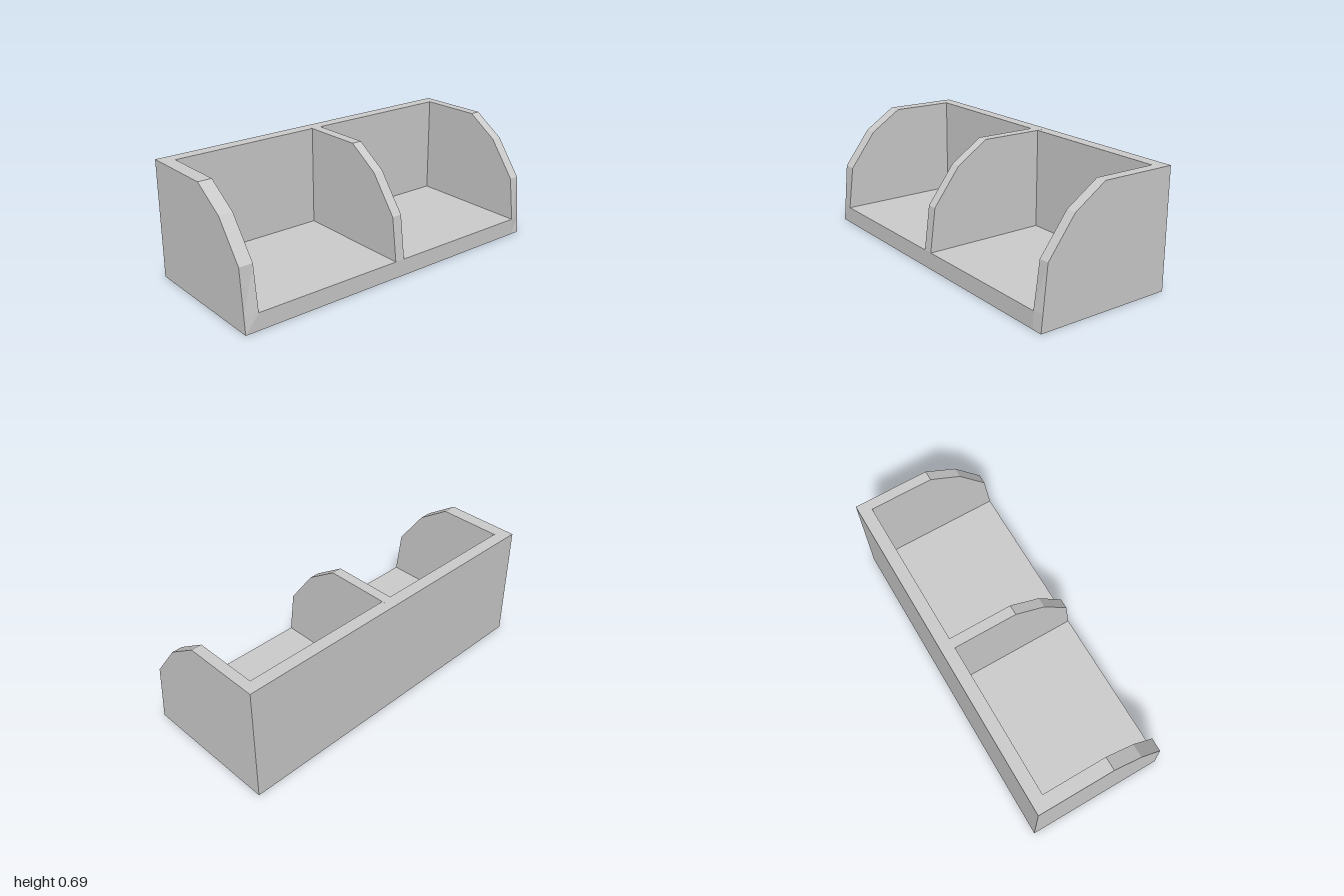
import * as THREE from 'three';

const W = 1, D = 0.413, H = 0.69, FLOOR = 0.1, BACK = -0.34;
const material = new THREE.MeshStandardMaterial({ color: 0xcccccc, flatShading: true });

// Side profile of an upright panel as (z, y) points
const profile = [
  [-D, 0], [D, 0], [D, FLOOR], [0.38, 0.357], [0.22, 0.57], [0.035, 0.692], [-D, H],
];

function addMesh(group, name, geometry) {
  const mesh = new THREE.Mesh(geometry, material);
  mesh.name = name;
  group.add(mesh);
}

// Upright panel between x0 and x1; an outer face at x = outerX runs straight from base to first bend
function panelGeometry(x0, x1, outerX) {
  const shape = new THREE.Shape(profile.map(([z, y]) => new THREE.Vector2(z, y)));
  const geometry = new THREE.ExtrudeGeometry(shape, { depth: x1 - x0, bevelEnabled: false });
  geometry.rotateY(-Math.PI / 2).translate(x1, 0, 0);
  const p = geometry.attributes.position;
  const straightZ = D + (0.38 - D) * FLOOR / 0.357;
  for (let i = 0; i < p.count; i++) {
    const onOuter = outerX !== undefined && Math.abs(p.getX(i) - outerX) < 1e-4;
    if (onOuter && Math.abs(p.getY(i) - FLOOR) < 1e-4) p.setZ(i, straightZ);
  }
  geometry.computeVertexNormals();
  return geometry;
}

function boxBetween(x0, x1, y0, y1, z0, z1) {
  return new THREE.BoxGeometry(x1 - x0, y1 - y0, z1 - z0)
    .translate((x0 + x1) / 2, (y0 + y1) / 2, (z0 + z1) / 2);
}

export function createModel() {
  const group = new THREE.Group();
  group.name = 'twoBayOrganizer';

  // Curved uprights
  addMesh(group, 'rightPanel', panelGeometry(-W, -0.92, -W));
  addMesh(group, 'middleDivider', panelGeometry(-0.02, 0.04));
  addMesh(group, 'leftPanel', panelGeometry(0.94, W, W));

  // Floor and back wall of each bay
  for (const [side, x0, x1] of [['right', -0.92, -0.02], ['left', 0.04, 0.94]]) {
    addMesh(group, side + 'Floor', boxBetween(x0, x1, 0, FLOOR, -D, D));
    addMesh(group, side + 'BackWall', boxBetween(x0, x1, FLOOR, H, -D, BACK));
  }
  return group;
}
